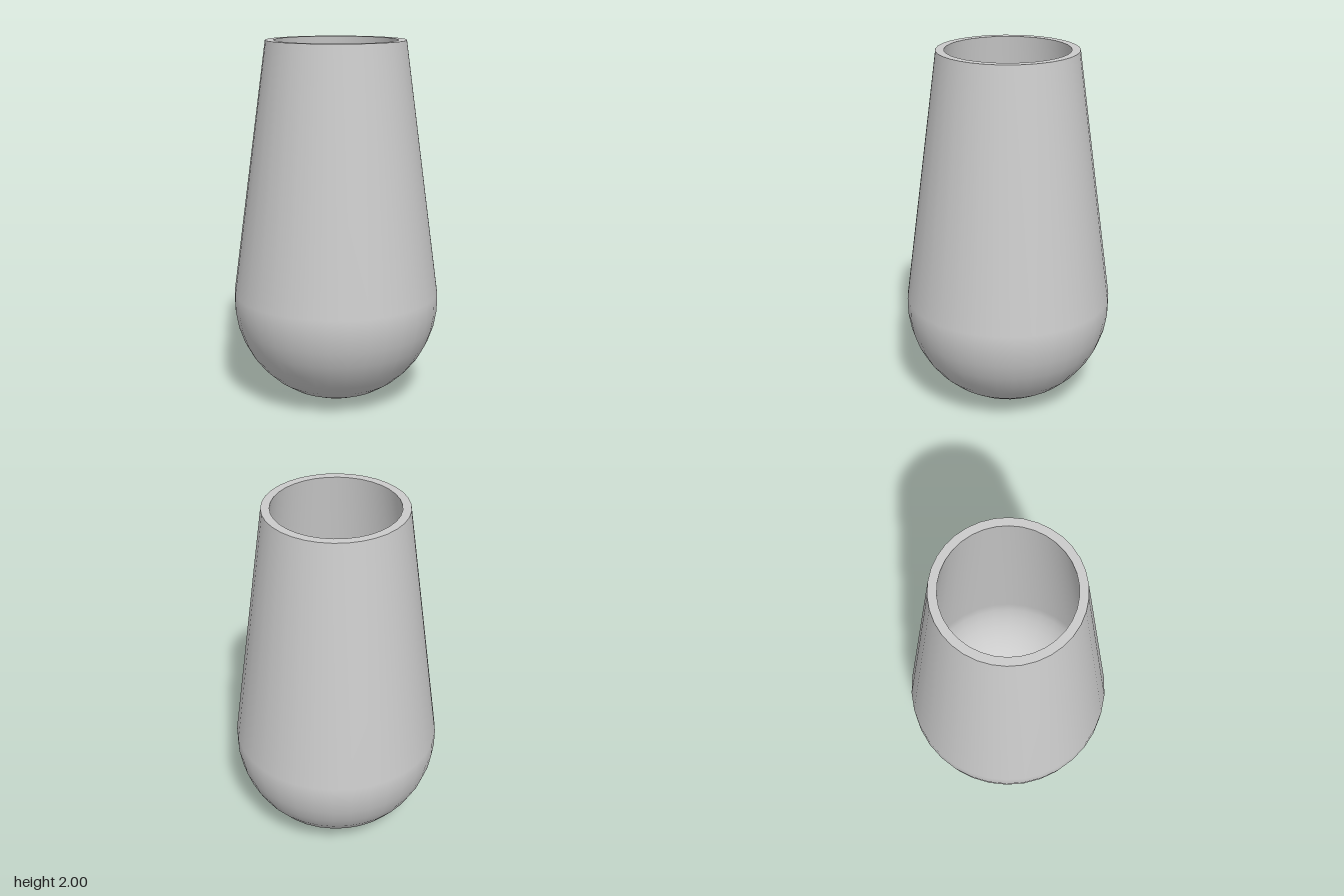
import * as THREE from 'three';

const SEGMENTS = 34;
const HEIGHT = 2;
const CENTRE = 0.57; // height of the round base's centre
const TILT = 0.07; // angle above the equator where the tapered wall starts

// Profile of a round bowl that runs up into a tapered neck
function profile(radius, topRadius) {
  const points = [];
  const steps = 10;
  for (let i = 0; i <= steps; i++) {
    const a = -Math.PI / 2 + (Math.PI / 2 + TILT) * (i / steps);
    points.push(new THREE.Vector2(i === 0 ? 0 : radius * Math.cos(a), CENTRE + radius * Math.sin(a)));
  }
  points.push(new THREE.Vector2(topRadius, HEIGHT));
  return points;
}

export function createModel() {
  const group = new THREE.Group();
  group.name = 'vase';
  const material = new THREE.MeshStandardMaterial({ color: 0xcccccc });

  const addLathe = (name, points) => {
    const mesh = new THREE.Mesh(new THREE.LatheGeometry(points, SEGMENTS), material);
    mesh.name = name;
    group.add(mesh);
  };

  const outer = profile(0.57, 0.38);
  const inner = profile(0.525, 0.335).reverse(); // reversed so it faces the hollow

  addLathe('outerWall', outer);
  addLathe('rim', [outer[outer.length - 1], inner[0]]);
  addLathe('innerWall', inner);
  return group;
}
